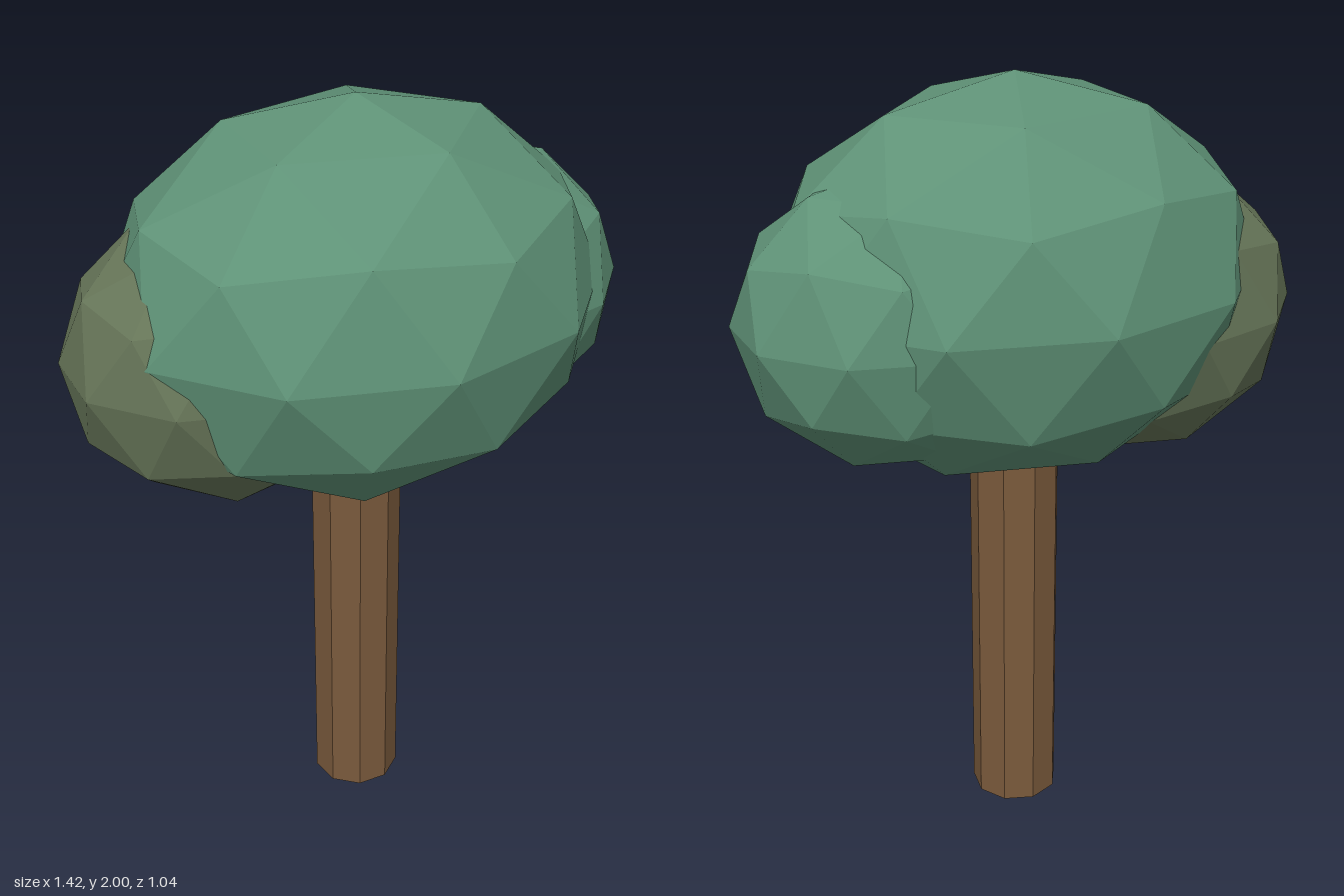
import * as THREE from 'three';

const material = (color) => new THREE.MeshStandardMaterial({ color, flatShading: true });

// Faceted sphere with a corner pointing straight up and a top-ring corner towards +x
function facetedSphere() {
  const geometry = new THREE.IcosahedronGeometry(1, 1);
  geometry.rotateX(-Math.atan((1 + Math.sqrt(5)) / 2));
  geometry.rotateY(Math.PI / 2);
  return geometry;
}

export function createModel() {
  const tree = new THREE.Group();
  tree.name = 'tree';

  const green = material(0x5f9277);
  const olive = material(0x667558);
  const brown = material(0x7a5a3c);

  // Nine-sided trunk, its top hidden inside the foliage
  const trunkHeight = 1.1;
  const trunk = new THREE.Mesh(new THREE.CylinderGeometry(0.117, 0.117, trunkHeight, 9), brown);
  trunk.name = 'trunk';
  trunk.position.y = trunkHeight / 2;
  trunk.rotation.y = Math.PI;
  tree.add(trunk);

  // Overlapping clumps of foliage: centre and radii
  const clumps = [
    ['mainFoliage', green, [0, 1.5, 0], [0.63, 0.5, 0.52]],
    ['leftFoliage', green, [0.32, 1.454, -0.037], [0.41, 0.369, 0.348]],
    ['rightFoliage', olive, [-0.31, 1.395, -0.053], [0.42, 0.38, 0.348]],
  ];
  for (const [name, mat, centre, radii] of clumps) {
    const clump = new THREE.Mesh(facetedSphere(), mat);
    clump.name = name;
    clump.position.set(...centre);
    clump.scale.set(...radii);
    tree.add(clump);
  }
  return tree;
}
